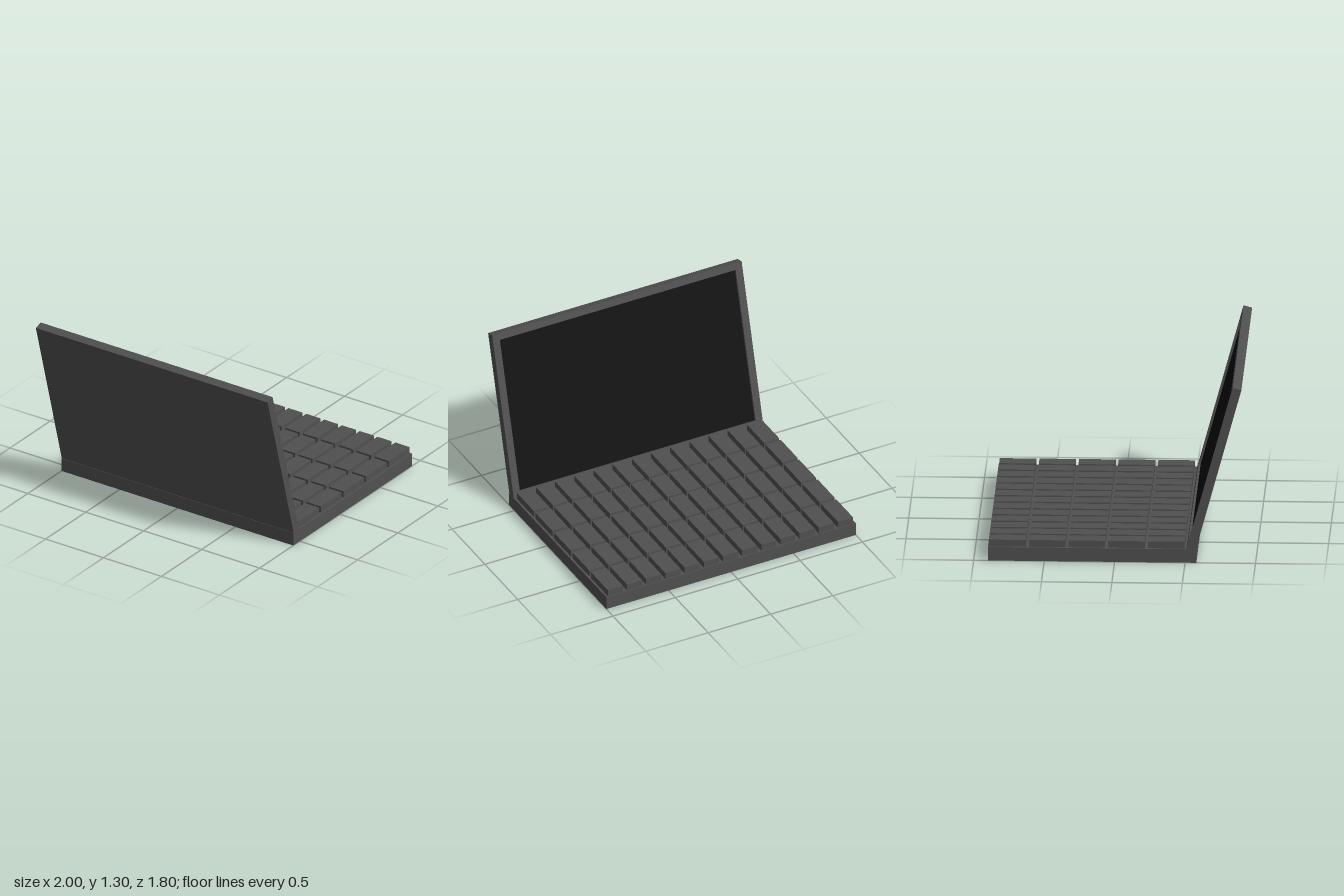
import * as THREE from 'three';

export function createModel() {
  const model = new THREE.Group();
  model.name = 'laptop';
  const body = new THREE.MeshStandardMaterial({ color: 0x505050 });
  const black = new THREE.MeshStandardMaterial({ color: 0x0b0b0b });

  const add = (parent, name, geometry, material, x = 0, y = 0, z = 0) => {
    const mesh = new THREE.Mesh(geometry, material);
    mesh.name = name;
    mesh.position.set(x, y, z);
    parent.add(mesh);
    return mesh;
  };

  // Base slab
  add(model, 'base', new THREE.BoxGeometry(2, 0.1, 1.48), body, 0, 0.05, -0.16);

  // Keyboard: 5 rows of 13 keys
  const keyboard = new THREE.Group();
  keyboard.name = 'keyboard';
  model.add(keyboard);
  const keyGeometry = new THREE.BoxGeometry(0.122, 0.05, 0.26);
  for (let row = 0; row < 5; row++) {
    for (let col = 0; col < 13; col++) {
      add(keyboard, 'key', keyGeometry, body, (col - 6) * 0.1537, 0.125, -0.198 + (row - 2) * 0.2815);
    }
  }

  // Lid, hinged at the base and leaning outward; local -z faces the keyboard
  const height = 1.244, thickness = 0.064, recess = 0.017;
  const lid = new THREE.Group();
  lid.name = 'lid';
  lid.position.set(0, 0.1, 0.51);
  lid.rotation.x = Math.atan2(0.328, 1.2);
  model.add(lid);

  // Raised frame around the screen
  const rect = (Type, halfWidth, bottom, top) => new Type([
    new THREE.Vector2(-halfWidth, bottom), new THREE.Vector2(halfWidth, bottom),
    new THREE.Vector2(halfWidth, top), new THREE.Vector2(-halfWidth, top),
  ]);
  const frame = rect(THREE.Shape, 1, 0, height);
  frame.holes.push(rect(THREE.Path, 0.945, 0.04, height - 0.05));
  add(lid, 'screenFrame', new THREE.ExtrudeGeometry(frame, { depth: recess, bevelEnabled: false }), body);

  // Back panel behind the frame
  add(lid, 'lidPanel', new THREE.BoxGeometry(2, height, thickness - recess), body,
    0, height / 2, (thickness + recess) / 2);

  // Recessed screen
  const screen = add(lid, 'screen', new THREE.PlaneGeometry(1.89, height - 0.09), black,
    0, (height - 0.01) / 2, recess - 0.001);
  screen.rotation.y = Math.PI;

  return model;
}
